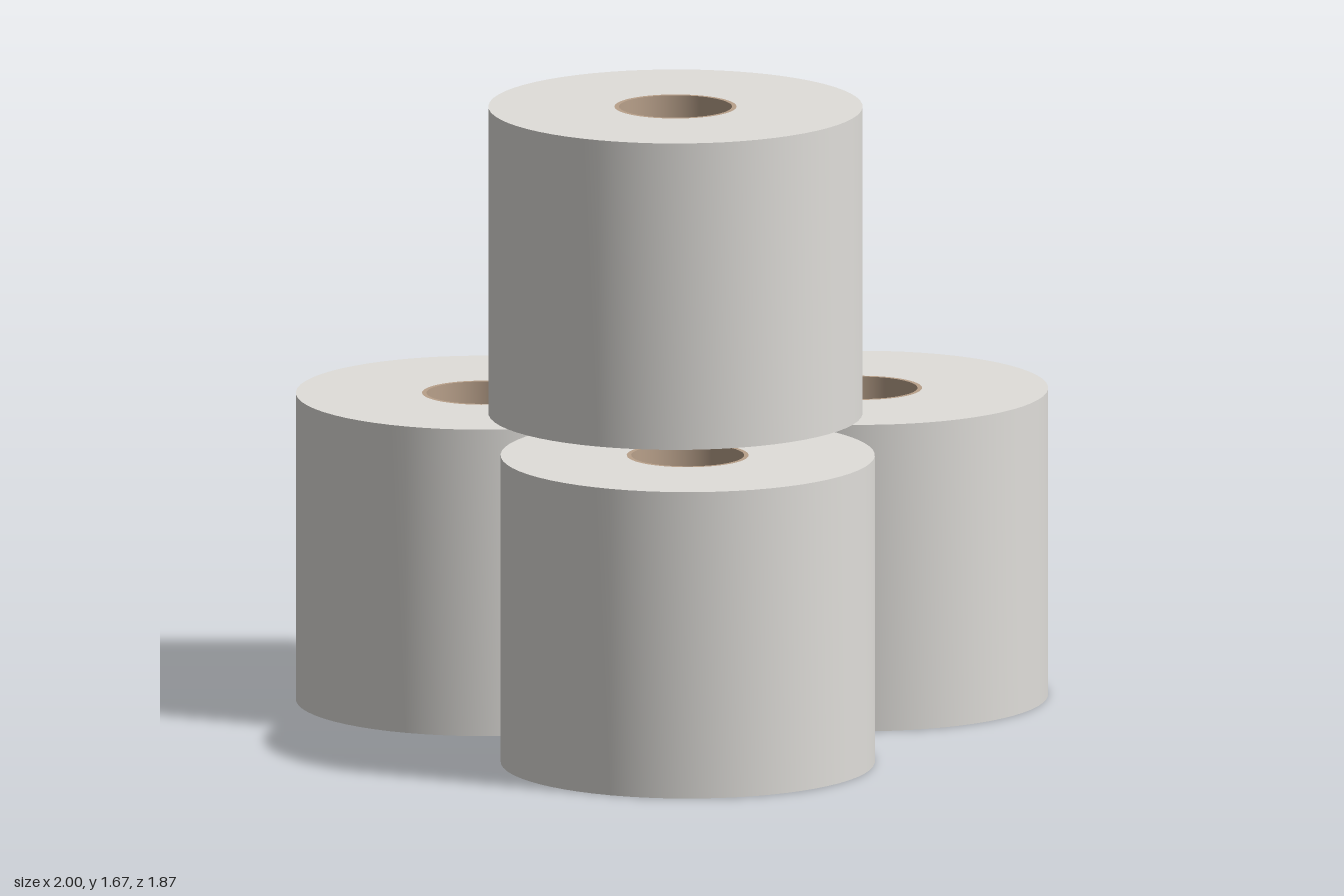
import * as THREE from 'three';
import { toCreasedNormals } from 'three/addons/utils/BufferGeometryUtils.js';

const HEIGHT = 0.83, OUTER = 0.497, HOLE = 0.162, BORE = 0.15;

// Closed ring-shaped solid standing on y = 0
function ring(inner, outer, height) {
  const profile = [[inner, 0], [outer, 0], [outer, height], [inner, height], [inner, 0]]
    .map(([r, y]) => new THREE.Vector2(r, y));
  return toCreasedNormals(new THREE.LatheGeometry(profile, 64), Math.PI / 5);
}

export function createModel() {
  const paper = new THREE.MeshStandardMaterial({ color: 0xe0deda });
  paper.name = 'white paper';
  const cardboard = new THREE.MeshStandardMaterial({ color: 0xb8a08a });
  cardboard.name = 'brown cardboard';

  const paperGeometry = ring(HOLE, OUTER, HEIGHT);
  const coreGeometry = ring(BORE, HOLE, HEIGHT);

  const model = new THREE.Group();
  model.name = 'paperRollStack';

  // Three rolls on the ground and one resting on top
  const rolls = [
    ['backRightRoll', -0.503, 0, -0.437],
    ['backLeftRoll', 0.503, 0, -0.437],
    ['frontRoll', -0.015, 0, 0.434],
    ['topRoll', -0.013, 0.838, -0.094],
  ];
  for (const [name, x, y, z] of rolls) {
    const roll = new THREE.Group();
    roll.name = name;
    roll.position.set(x, y, z);
    const sheet = new THREE.Mesh(paperGeometry, paper);
    sheet.name = 'paperWinding';
    const core = new THREE.Mesh(coreGeometry, cardboard);
    core.name = 'cardboardCore';
    roll.add(sheet, core);
    model.add(roll);
  }
  return model;
}
